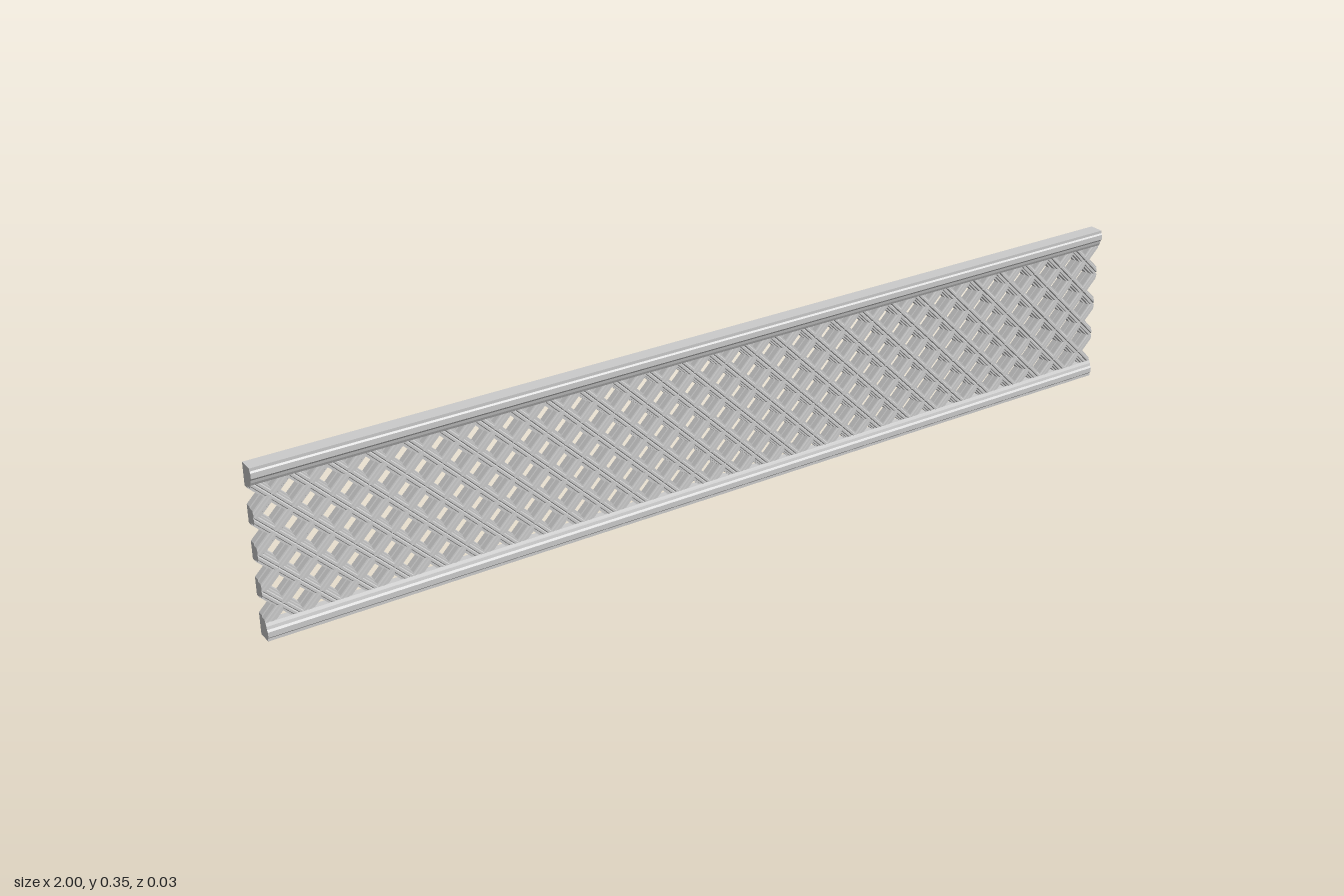
import * as THREE from 'three';
import { mergeGeometries } from 'three/addons/utils/BufferGeometryUtils.js';

const R = 1 / 27;        // half diagonal of one lattice cell
const HEIGHT = 0.352;
const MID = HEIGHT / 2;
const RAIL = MID - 4 * R; // rail height

// Cross-section of half a lattice strip: [distance from hole centre, z]
const STRIP = [
  [R, 0.006], [R - 0.0025, 0.0095], [R - 0.0085, 0.0095], [R - 0.0105, 0.0075],
  [0.0225, 0.0075], [0.0225, -0.004], [0.0185, -0.004], [0.0185, -0.017], [R, -0.017],
].map(([r, z]) => new THREE.Vector2(r, z));

// Moulded rail outline: [z, y]
const RAIL_PROFILE = [
  [-0.017, 0], [0.014, 0], [0.014, 0.006], [0.017, 0.009], [0.017, 0.02],
  [0.014, 0.024], [0.0125, 0.03], [0.0095, 0.036], [0.007, 0.036], [0.007, RAIL], [-0.017, RAIL],
];

// Four-sided ring around one hole, or half of it
function cell(x, y, start = 0, sides = 4) {
  return new THREE.LatheGeometry(STRIP, sides, start, sides * Math.PI / 2)
    .rotateX(Math.PI / 2).translate(x, y, 0);
}

// Flat cut faces of the strips at the panel ends
function endCap(x, y, dir) {
  const g = new THREE.ShapeGeometry(new THREE.Shape(STRIP));
  // profile r runs along y, profile z along z
  g.applyMatrix4(new THREE.Matrix4().makeBasis(
    new THREE.Vector3(0, dir, 0), new THREE.Vector3(0, 0, 1), new THREE.Vector3(dir, 0, 0)));
  return g.translate(x, y, 0);
}

export function createModel() {
  const group = new THREE.Group();
  group.name = 'latticePanel';
  const material = new THREE.MeshStandardMaterial({
    color: 0xcccccc, flatShading: true, side: THREE.DoubleSide,
  });

  // Diagonal lattice, tiled from diamond cells and cut flat at all edges
  const cells = [], caps = [];
  for (let j = -4; j <= 4; j++) {
    for (let i = -27; i <= 27; i++) {
      if ((i + j) % 2 !== 0) continue;
      const x = i * R, y = MID + j * R;
      if (j === -4) cells.push(cell(x, y, Math.PI / 2, 2));
      else if (j === 4) cells.push(cell(x, y, -Math.PI / 2, 2));
      else if (i === -27) cells.push(cell(x, y, 0, 2));
      else if (i === 27) cells.push(cell(x, y, Math.PI, 2));
      else cells.push(cell(x, y));
      if (Math.abs(i) === 27) caps.push(endCap(x, y, 1), endCap(x, y, -1));
    }
  }
  const lattice = new THREE.Mesh(mergeGeometries(cells), material);
  lattice.name = 'lattice';
  const ends = new THREE.Mesh(mergeGeometries(caps), material);
  ends.name = 'latticeEnds';
  group.add(lattice, ends);

  // Moulded rails along the bottom and top edges
  const shape = new THREE.Shape(RAIL_PROFILE.map(([z, y]) => new THREE.Vector2(-z, y)));
  const railGeometry = new THREE.ExtrudeGeometry(shape, { depth: 2, bevelEnabled: false })
    .translate(0, 0, -1).rotateY(Math.PI / 2).rotateY(0);
  // after the turn, the profile's -z lies along +z
  const bottomRail = new THREE.Mesh(railGeometry, material);
  bottomRail.name = 'bottomRail';
  const topRail = new THREE.Mesh(railGeometry, material);
  topRail.name = 'topRail';
  topRail.scale.y = -1;
  topRail.position.y = HEIGHT;
  group.add(bottomRail, topRail);
  return group;
}
